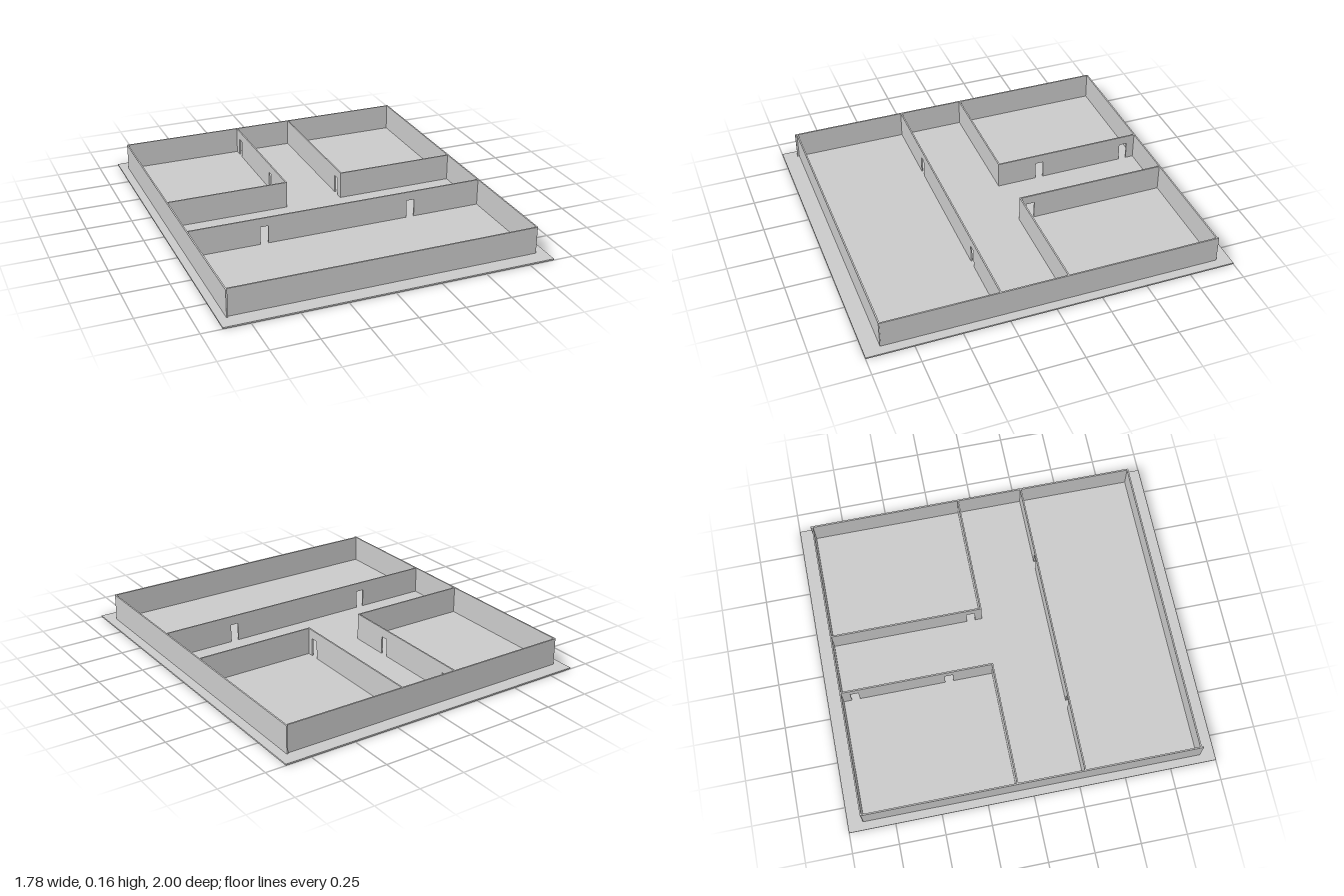
import * as THREE from 'three';

const FLOOR = 0.008, WALL_HEIGHT = 0.15, THICK = 0.008;
const DOOR_WIDTH = 0.045, DOOR_HEIGHT = 0.1;

export function createModel() {
  const model = new THREE.Group();
  const material = new THREE.MeshStandardMaterial({ color: 0xcccccc, flatShading: true });

  const add = (name, geometry) => {
    const mesh = new THREE.Mesh(geometry, material);
    mesh.name = name;
    model.add(mesh);
    return mesh;
  };

  // Upright panel with doorways notched out of its lower edge
  const panel = (from, to, doors) => {
    const shape = new THREE.Shape();
    shape.moveTo(from, 0);
    for (const d of [...doors].sort((a, b) => a - b)) {
      shape.lineTo(d - DOOR_WIDTH / 2, 0);
      shape.lineTo(d - DOOR_WIDTH / 2, DOOR_HEIGHT);
      shape.lineTo(d + DOOR_WIDTH / 2, DOOR_HEIGHT);
      shape.lineTo(d + DOOR_WIDTH / 2, 0);
    }
    shape.lineTo(to, 0);
    shape.lineTo(to, WALL_HEIGHT);
    shape.lineTo(from, WALL_HEIGHT);
    const geometry = new THREE.ExtrudeGeometry(shape, { depth: THICK, bevelEnabled: false });
    return geometry.translate(0, 0, -THICK / 2);
  };

  // Wall running along x at a given z
  const wallX = (name, z, x0, x1, doors = []) =>
    add(name, panel(x0, x1, doors)).position.set(0, FLOOR, z);

  // Wall running along z at a given x
  const wallZ = (name, x, z0, z1, doors = []) => {
    const mesh = add(name, panel(-z1, -z0, doors.map((d) => -d)));
    mesh.rotation.y = Math.PI / 2;
    mesh.position.set(x, FLOOR, 0);
  };

  // Base slab
  add('floorSlab', new THREE.BoxGeometry(1.78, FLOOR, 2)).position.y = FLOOR / 2;

  // Outer walls, overlapping slightly at the corners
  wallX('backWall', -0.916, -0.843, 0.835);
  wallX('frontWall', 0.908, -0.84, 0.835);
  wallZ('rightOuterWall', -0.842, -0.916, 0.922);
  wallZ('leftOuterWall', 0.834, -0.926, 0.908);

  // Long partition closing off the front room
  wallX('frontRoomPartition', 0.282, -0.842, 0.836, [-0.425, 0.418]);

  // Two back rooms with a corridor between them
  wallX('rightRoomFrontPartition', -0.082, -0.842, -0.161);
  wallX('leftRoomFrontPartition', -0.082, 0.159, 0.836);
  wallZ('rightRoomCorridorPartition', -0.165, -0.916, -0.078, [-0.325, -0.845]);
  wallZ('leftRoomCorridorPartition', 0.163, -0.916, -0.078, [-0.14]);

  return model;
}
